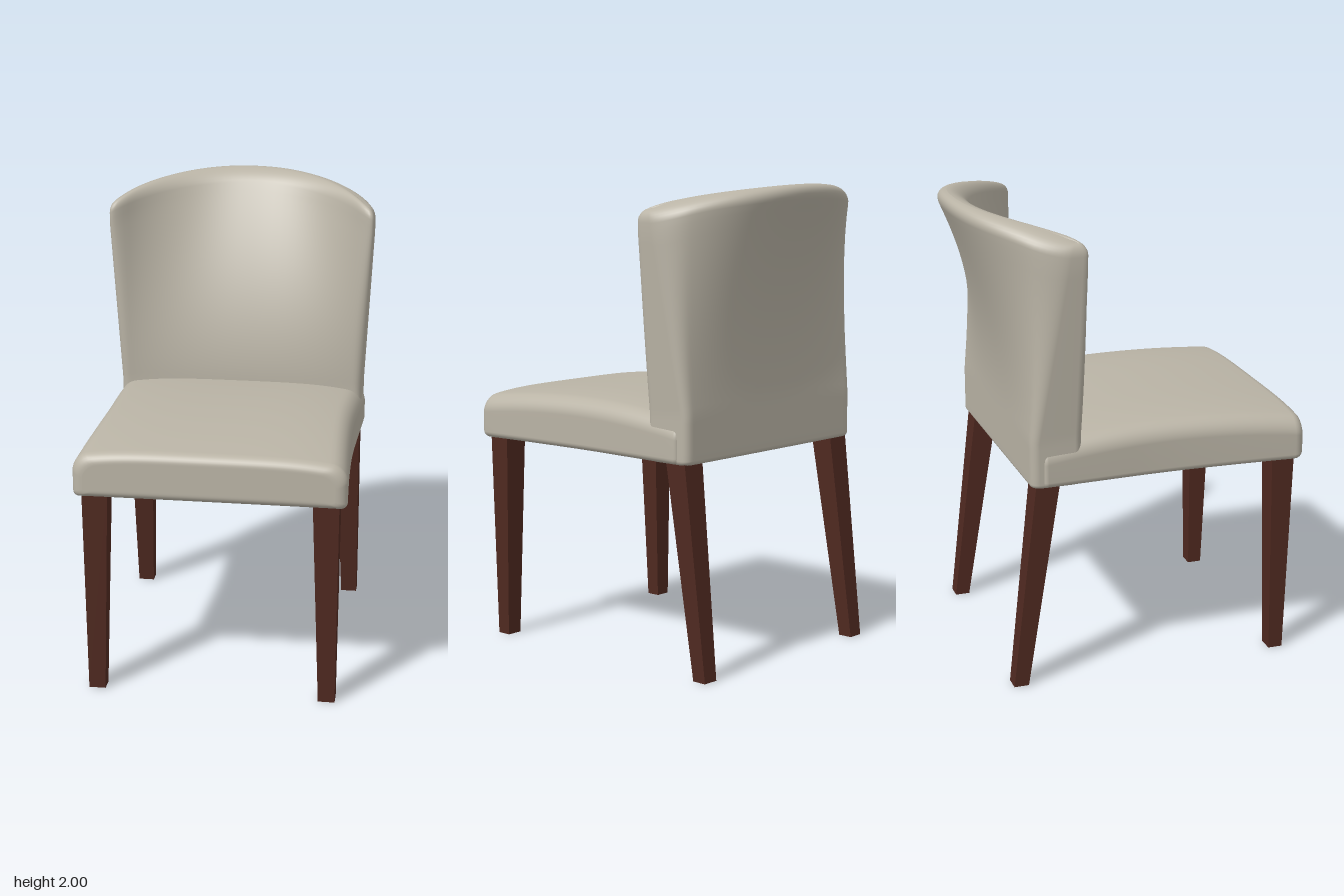
import * as THREE from 'three';

const N = 48; // samples across the width of each section

// How far a rounded corner of radius r falls back at distance d from the end
const drop = (r, d) => (d < r ? r - Math.sqrt(r * r - (r - d) ** 2) : 0);

// Closed section: low edge left to right, then high edge right to left.
// k squeezes the section towards its middle line; place(x, q, s) gives the point.
function section(w, low, high, rLow, rHigh, k, inset, place) {
  const ring = [];
  for (let half = 0; half < 2; half++) {
    for (let i = 0; i <= N; i++) {
      const s = Math.sin((i / N - 0.5) * Math.PI) * (half ? -1 : 1);
      const d = w * (1 - Math.abs(s));
      const a = low(s) + drop(rLow, d), b = high(s) - drop(rHigh, d);
      const mid = (a + b) / 2;
      ring.push(place((w - inset) * s, mid + ((half ? b : a) - mid) * k, s));
    }
  }
  return ring;
}

// Skin a list of equal-length rings
function loft(rings) {
  const n = rings[0].length, index = [];
  for (let i = 0; i < rings.length - 1; i++) {
    for (let j = 0; j < n; j++) {
      const j2 = (j + 1) % n;
      const a = i * n + j, b = i * n + j2, c = a + n, d = b + n;
      index.push(a, b, d, a, d, c);
    }
  }
  const g = new THREE.BufferGeometry();
  g.setAttribute('position', new THREE.Float32BufferAttribute(rings.flat(2), 3));
  g.setIndex(index);
  g.computeVertexNormals();
  return g;
}

// Stations from start to end with rounded ends: { p, k, inset }
function stations(start, end, first, last, count) {
  const cap = (at, dir, { r, squeeze, inset }) => {
    const out = [{ p: at, k: 0, inset }, { p: at, k: (1 - squeeze) * 0.9, inset }];
    for (let i = 0; i <= 8; i++) {
      const f = (i / 8) * Math.PI / 2, c = 1 - Math.sin(f);
      out.push({ p: at + dir * r * (1 - Math.cos(f)), k: 1 - squeeze * c, inset: inset * c });
    }
    return out;
  };
  const list = cap(start, 1, first);
  const a = start + first.r, b = end - last.r;
  for (let i = 1; i < count; i++) list.push({ p: a + (b - a) * i / count, k: 1, inset: 0 });
  list.push(...cap(end, -1, last).reverse());
  return list;
}

// Seat cushion, lofted from back to front with a gently crowned top
function seatGeometry() {
  const ends = [{ r: 0.02, squeeze: 0.1, inset: 0.02 }, { r: 0.045, squeeze: 0.35, inset: 0.05 }];
  return loft(stations(-0.45, 0.7, ...ends, 24).map(({ p: z, k, inset }) => {
    const w = 0.537 + 0.026 * Math.max(0, (z - 0.1) / 0.55) ** 1.5 + 0.009 * Math.max(0, -z / 0.3);
    const top = (s) => 1.12 - 0.035 * ((z - 0.15) / 0.55) ** 2 - 0.03 * s ** 4;
    return section(w, () => 0.883, top, 0.025, 0.065, k, inset, (x, y) => [x, y, z]);
  }));
}

// Backrest: flat slab at the bottom, opening into a curved, flaring shell
function backGeometry() {
  const base = 0.883, height = 2 - base;
  const ends = [{ r: 0.02, squeeze: 0.15, inset: 0.015 }, { r: 0.06, squeeze: 1, inset: 0.035 }];
  return loft(stations(base, 2, ...ends, 32).map(({ p, k, inset }) => {
    const t = Math.max(0, (p - 1.1) / 0.9);
    const w = 0.541 + 0.042 * Math.min(1, t * 1.15);
    const arc = (s) => Math.abs(s) ** 2.3;
    const inner = -0.3 - 0.31 * t ** 1.7, innerEnd = -0.28 + 0.07 * t;
    const outer = -0.5 - 0.225 * t * t, outerEnd = -0.5 + 0.09 * t;
    const rear = (s) => outer + (outerEnd - outer) * arc(s);
    const front = (s) => inner + (innerEnd - inner) * arc(s);
    const round = 0.035 + 0.045 * t;
    // Sections run front edge first, so depth is negated while building
    return section(w, (s) => -front(s), (s) => -rear(s), round, round, k, inset,
      (x, q, s) => {
        const top = height - 0.065 * s * s - 0.03 * s ** 8;
        return [x, base + (p - base) / height * top, -q];
      });
  }));
}

// Tapered square leg between a bottom and a top rectangle [x0, x1, z0, z1]
function legGeometry(bottom, top) {
  const g = new THREE.BoxGeometry(1, 1, 1);
  const pos = g.attributes.position;
  for (let i = 0; i < pos.count; i++) {
    const up = pos.getY(i) > 0, r = up ? top : bottom;
    pos.setXYZ(i, pos.getX(i) < 0 ? r[0] : r[1], up ? 0.9 : 0, pos.getZ(i) < 0 ? r[2] : r[3]);
  }
  const flat = g.toNonIndexed();
  flat.computeVertexNormals();
  return flat;
}

export function createModel() {
  const model = new THREE.Group();
  model.name = 'diningChair';
  const upholstery = new THREE.MeshStandardMaterial({ color: 0xb9b3a5 });
  upholstery.name = 'upholstery';
  const wood = new THREE.MeshStandardMaterial({ color: 0x4f2920 });
  wood.name = 'darkWood';

  const add = (name, geometry, material) => {
    const mesh = new THREE.Mesh(geometry, material);
    mesh.name = name;
    model.add(mesh);
  };

  add('seat', seatGeometry(), upholstery);
  add('backrest', backGeometry(), upholstery);

  // Legs, mirrored left and right
  for (const [side, m] of [['Left', 1], ['Right', -1]]) {
    const mirror = ([x0, x1, z0, z1]) => (m > 0 ? [x0, x1, z0, z1] : [-x1, -x0, z0, z1]);
    const leg = (bottom, top) => legGeometry(mirror(bottom), mirror(top));
    add('frontLeg' + side, leg([0.453, 0.523, 0.575, 0.637], [0.422, 0.53, 0.562, 0.662]), wood);
    add('backLeg' + side, leg([0.453, 0.523, -0.583, -0.52], [0.422, 0.53, -0.478, -0.377]), wood);
  }
  return model;
}
